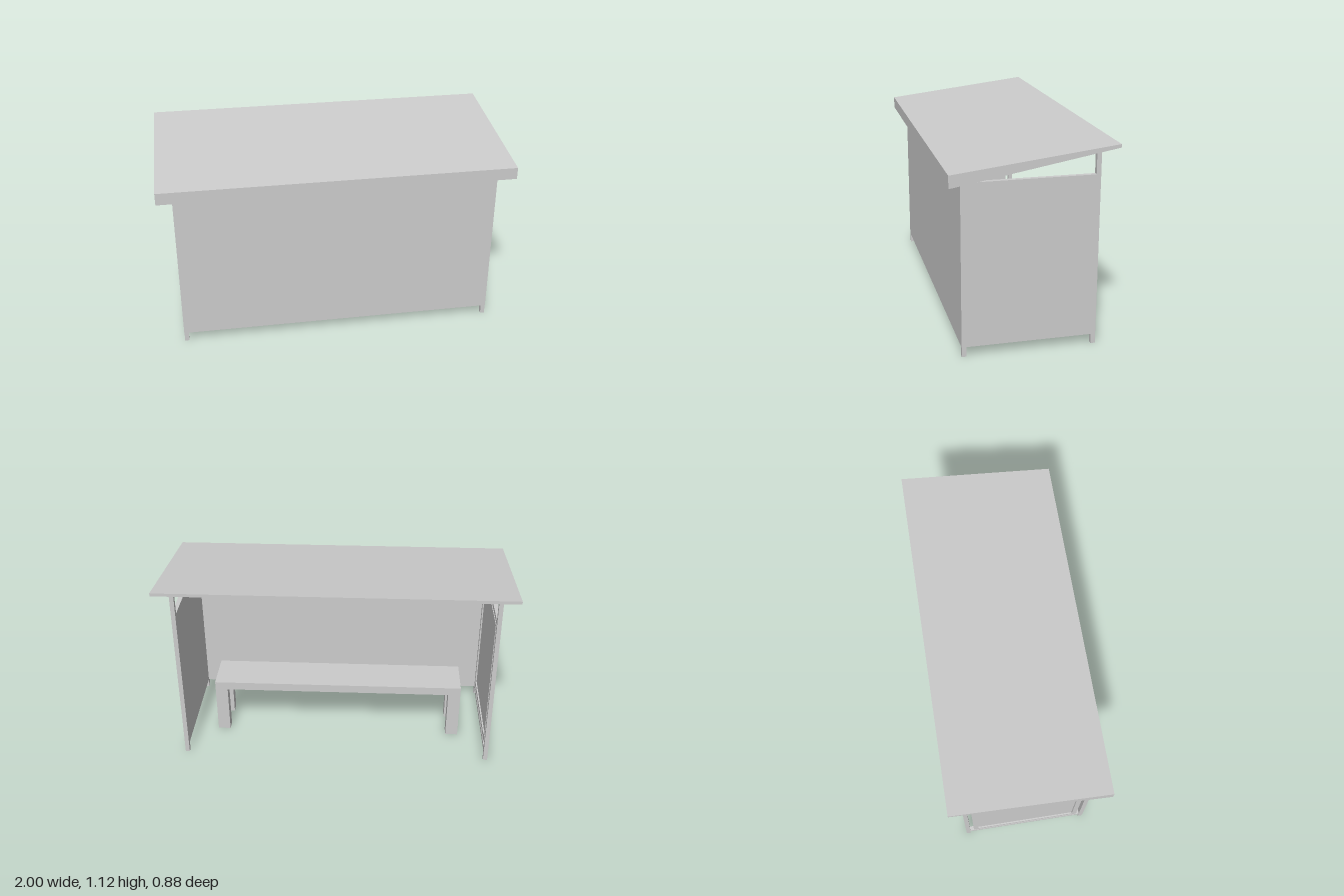
import * as THREE from 'three';

export function createModel() {
  const model = new THREE.Group();
  model.name = 'shelter';
  const material = new THREE.MeshStandardMaterial({ color: 0xcccccc, flatShading: true });

  // Box given by its min and max along each axis
  function box(name, [x0, x1], [y0, y1], [z0, z1], parent = model) {
    const mesh = new THREE.Mesh(new THREE.BoxGeometry(x1 - x0, y1 - y0, z1 - z0), material);
    mesh.position.set((x0 + x1) / 2, (y0 + y1) / 2, (z0 + z1) / 2);
    mesh.name = name;
    parent.add(mesh);
    return mesh;
  }

  const outer = 0.914, inner = 0.889;
  const frontZ = [0.34, 0.365], backZ = [-0.37, -0.345];
  const bottom = 0.055, top = 0.95;

  // Sloping roof: a tapered side profile extruded along the width
  const profile = new THREE.Shape([
    new THREE.Vector2(-0.44, 0.95), new THREE.Vector2(0.44, 1.106),
    new THREE.Vector2(0.44, 1.124), new THREE.Vector2(-0.44, 1.018),
  ]);
  const roofGeometry = new THREE.ExtrudeGeometry(profile, { depth: 2, bevelEnabled: false });
  roofGeometry.translate(0, 0, -1).rotateY(Math.PI / 2);
  const roof = new THREE.Mesh(roofGeometry, material);
  roof.name = 'roof';
  model.add(roof);

  // Corner posts, their tops sunk slightly into the roof
  for (const side of [-1, 1]) {
    const x = side > 0 ? [inner, outer] : [-outer, -inner];
    box('frontPost', x, [0, 0.975], frontZ);
    box('backPost', x, [0, 1.1], backZ);
  }

  // Solid long wall and solid end wall
  box('longWall', [-outer - 0.001, outer + 0.001], [bottom, top], [0.34, 0.366]);
  box('endWall', [inner, outer + 0.001], [bottom, top], [-0.345, 0.34]);

  // Open end: two rails carrying a framed display panel
  const display = new THREE.Group();
  display.name = 'displayEnd';
  model.add(display);
  const railX = [-outer, -inner], span = [-0.345, 0.34];
  box('bottomRail', railX, [bottom, bottom + 0.025], span, display);
  box('topRail', railX, [top - 0.025, top], span, display);

  const rect = (Type, z, y0, y1) => new Type([
    new THREE.Vector2(-z, y0), new THREE.Vector2(z, y0),
    new THREE.Vector2(z, y1), new THREE.Vector2(-z, y1),
  ]);
  const frameShape = rect(THREE.Shape, 0.322, 0.095, 0.91);
  frameShape.holes.push(rect(THREE.Path, 0.292, 0.125, 0.88));
  const frameGeometry = new THREE.ExtrudeGeometry(frameShape, { depth: 0.025, bevelEnabled: false });
  frameGeometry.rotateY(Math.PI / 2).translate(-outer, 0, 0);
  const frame = new THREE.Mesh(frameGeometry, material);
  frame.name = 'displayFrame';
  display.add(frame);
  box('displayPanel', [-0.906, -0.897], [0.125, 0.88], [-0.292, 0.292], display);

  // Small brackets joining the frame to the rails
  for (const z of [-0.3, 0.3]) {
    for (const y of [[0.08, 0.095], [0.91, 0.925]]) {
      box('bracket', [-0.908, -0.895], y, [z - 0.008, z + 0.008], display);
    }
  }

  // Bench
  const bench = new THREE.Group();
  bench.name = 'bench';
  model.add(bench);
  box('seat', [-0.75, 0.75], [0.295, 0.345], [-0.124, 0.124], bench);
  for (const x of [-0.713, 0.713]) {
    for (const z of [-0.094, 0.094]) {
      box('benchLeg', [x - 0.037, x + 0.037], [0, 0.295], [z - 0.03, z + 0.03], bench);
    }
  }
  return model;
}
